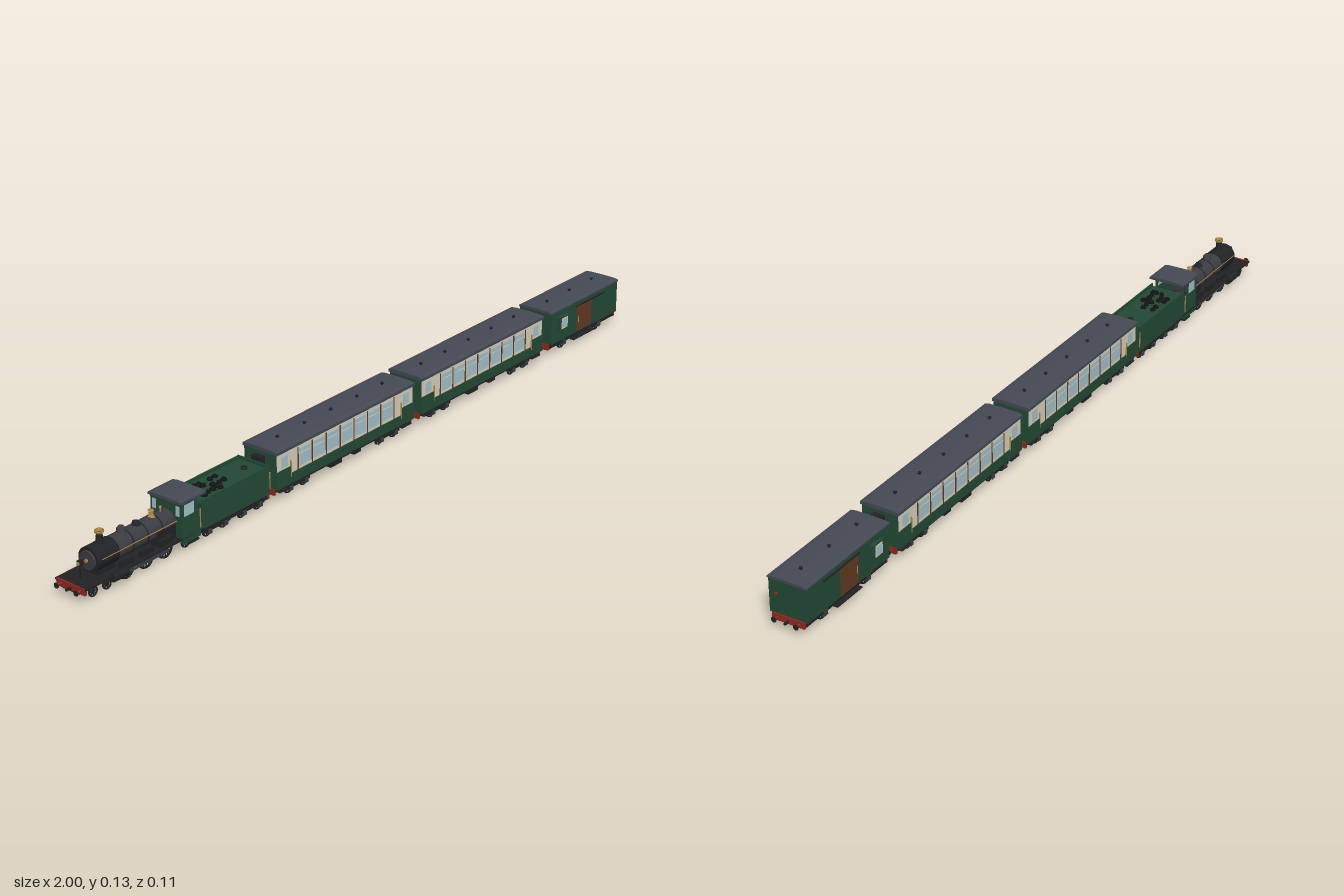
import * as THREE from 'three';

const mat = (c) => new THREE.MeshStandardMaterial({ color: c, side: THREE.DoubleSide });
const M = {
  green: mat(0x234a35), black: mat(0x222326), steel: mat(0x3b3d42), roof: mat(0x454a55),
  red: mat(0x92281f), cream: mat(0xd9d2be), glass: mat(0xa5c3cc), brown: mat(0x633a20),
  gold: mat(0xb08a48), coal: mat(0x141416),
};

function add(g, name, geo, m, x = 0, y = 0, z = 0) {
  const mesh = new THREE.Mesh(geo, m);
  mesh.name = name;
  mesh.position.set(x, y, z);
  g.add(mesh);
  return mesh;
}
// box from its limits
const box = (g, name, m, x0, x1, y0, y1, z0, z1) => add(g, name,
  new THREE.BoxGeometry(x1 - x0, y1 - y0, z1 - z0), m, (x0 + x1) / 2, (y0 + y1) / 2, (z0 + z1) / 2);
// matching boxes on both sides
const sides = (g, name, m, x0, x1, y0, y1, z0, z1) => {
  box(g, name, m, x0, x1, y0, y1, z0, z1);
  box(g, name, m, x0, x1, y0, y1, -z1, -z0);
};
// cylinders along x, y or z
const rodX = (g, name, m, x0, x1, y, z, r, n = 12) => add(g, name,
  new THREE.CylinderGeometry(r, r, x1 - x0, n).rotateZ(Math.PI / 2), m, (x0 + x1) / 2, y, z);
const rodZ = (g, name, m, x, y, w, r, n = 12) => add(g, name,
  new THREE.CylinderGeometry(r, r, w, n).rotateX(Math.PI / 2), m, x, y, 0);
const turned = (g, name, m, x, y, pts) => add(g, name,
  new THREE.LatheGeometry(pts.map((p) => new THREE.Vector2(...p)), 20), m, x, y);

// axle with two flanged, spoked wheels standing on the rails
function wheelset(g, x, r, spokes = 8) {
  const w = new THREE.Group();
  w.name = 'wheelset';
  const rim = new THREE.LatheGeometry([[r * 0.8, -0.002], [r, -0.002], [r, -0.001], [r * 0.95, -0.001],
    [r * 0.95, 0.002], [r * 0.8, 0.002], [r * 0.8, -0.002]].map((p) => new THREE.Vector2(...p)), 24).rotateX(Math.PI / 2);
  rodZ(w, 'axle', M.steel, 0, 0, 0.066, 0.0025, 8);
  for (const s of [-1, 1]) {
    const wheel = new THREE.Group();
    wheel.name = 'wheel';
    add(wheel, 'tyre', rim, M.black);
    rodZ(wheel, 'hub', M.black, 0, 0, 0.005, r * 0.25);
    for (let i = 0; i < spokes / 2; i++) {
      add(wheel, 'spoke', new THREE.BoxGeometry(r * 1.7, 0.0022, 0.002), M.black).rotation.z = (i * Math.PI * 2) / spokes;
    }
    wheel.position.z = s * 0.031;
    if (s < 0) wheel.rotation.y = Math.PI;
    w.add(wheel);
  }
  w.position.set(x, r, 0);
  g.add(w);
}

// red beam, buffers and hook; dir points outward along x
function bufferBeam(g, x, dir, len = 0.014) {
  const span = (a, b) => [Math.min(x + dir * a, x + dir * b), Math.max(x + dir * a, x + dir * b)];
  box(g, 'bufferBeam', M.red, ...span(-0.004, 0.002), 0.018, 0.034, -0.041, 0.041);
  for (const z of [-0.028, 0.028]) {
    rodX(g, 'bufferStem', M.red, ...span(0, len - 0.002), 0.026, z, 0.003);
    rodX(g, 'bufferHead', M.black, ...span(len - 0.002, len), 0.026, z, 0.0065, 16);
  }
  box(g, 'couplingHook', M.black, ...span(0, len), 0.022, 0.027, -0.0025, 0.0025);
}

function bogie(g, x, half = 0.027, r = 0.014) {
  for (const s of [-1, 1]) {
    wheelset(g, x + s * half, r);
    sides(g, 'axleBox', M.steel, x + s * half - 0.005, x + s * half + 0.005, 0.01, 0.02, 0.036, 0.043);
  }
  sides(g, 'bogieFrame', M.black, x - half - 0.014, x + half + 0.014, 0.015, 0.021, 0.035, 0.04);
  box(g, 'bogieBolster', M.black, x - 0.008, x + 0.008, 0.014, 0.03, -0.036, 0.036);
}

// slightly cambered roof slab
function roof(g, x0, x1, y0, y1, half) {
  const s = new THREE.Shape([[-half, y0], [half, y0], [half, y1 - 0.003], [half * 0.75, y1 - 0.0008], [0, y1],
    [-half * 0.75, y1 - 0.0008], [-half, y1 - 0.003]].map((p) => new THREE.Vector2(...p)));
  const geo = new THREE.ExtrudeGeometry(s, { depth: x1 - x0, bevelEnabled: false }).rotateY(Math.PI / 2);
  add(g, 'roof', geo, M.roof, x0);
}

function vents(g, x0, x1, n, y) {
  for (let i = 0; i < n; i++) {
    turned(g, 'roofVent', M.black, x0 + ((x1 - x0) * i) / (n - 1), y - 0.001,
      [[0.002, 0], [0.002, 0.004], [0.0045, 0.004], [0.004, 0.0065], [0, 0.007]]);
  }
}

function locomotive() {
  const g = new THREE.Group();
  g.name = 'locomotive';
  bufferBeam(g, -0.984, -1, 0.016);
  box(g, 'mainFrame', M.black, -0.985, -0.62, 0.016, 0.031, -0.025, 0.025);
  box(g, 'runningBoard', M.black, -0.985, -0.62, 0.03, 0.034, -0.045, 0.045);
  // boiler, smokebox and bands
  rodX(g, 'smokebox', M.black, -0.93, -0.865, 0.067, 0, 0.029, 28);
  rodX(g, 'smokeboxDoor', M.steel, -0.935, -0.93, 0.067, 0, 0.022, 24);
  rodX(g, 'doorHandle', M.gold, -0.939, -0.935, 0.067, 0, 0.004);
  rodX(g, 'boiler', M.steel, -0.865, -0.685, 0.067, 0, 0.027, 28);
  for (const x of [-0.865, -0.82, -0.775, -0.73]) rodX(g, 'boilerBand', M.black, x - 0.0015, x + 0.0015, 0.067, 0, 0.0277, 28);
  box(g, 'smokeboxSaddle', M.black, -0.925, -0.87, 0.03, 0.055, -0.021, 0.021);
  box(g, 'firebox', M.black, -0.75, -0.685, 0.03, 0.066, -0.027, 0.027);
  for (const z of [-0.031, 0.031]) rodX(g, 'handrail', M.gold, -0.92, -0.69, 0.073, z, 0.001, 6);
  // boiler fittings
  turned(g, 'chimney', M.black, -0.895, 0.09, [[0.012, 0], [0.008, 0.006], [0.007, 0.027], [0.006, 0.027], [0.006, 0.01]]);
  turned(g, 'chimneyCap', M.gold, -0.895, 0.115, [[0.007, 0], [0.0105, 0.004], [0.0105, 0.008], [0.007, 0.008], [0.006, 0]]);
  turned(g, 'dome', M.steel, -0.83, 0.09, [[0.014, 0], [0.01, 0.005], [0.01, 0.012], [0.006, 0.017], [0, 0.018]]);
  turned(g, 'sandDome', M.black, -0.785, 0.09, [[0.012, 0], [0.009, 0.005], [0.007, 0.011], [0, 0.013]]);
  turned(g, 'safetyValve', M.gold, -0.737, 0.09, [[0.011, 0], [0.006, 0.006], [0.005, 0.015], [0.007, 0.018], [0, 0.019]]);
  turned(g, 'whistle', M.gold, -0.708, 0.092, [[0.002, 0], [0.002, 0.008], [0.003, 0.009], [0.003, 0.014], [0, 0.015]]);
  // front lamp
  box(g, 'lampPost', M.black, -0.957, -0.954, 0.033, 0.066, -0.0015, 0.0015);
  box(g, 'lamp', M.black, -0.96, -0.95, 0.064, 0.076, -0.005, 0.005);
  rodX(g, 'lampLens', M.gold, -0.962, -0.96, 0.07, 0, 0.004);
  // wheels and motion
  for (const x of [-0.952, -0.91]) wheelset(g, x, 0.013);
  for (const x of [-0.85, -0.79, -0.73]) {
    wheelset(g, x, 0.023, 12);
    sides(g, 'splasher', M.black, x - 0.02, x + 0.02, 0.034, 0.048, 0.028, 0.036);
  }
  wheelset(g, -0.665, 0.014);
  for (const z of [-0.043, 0.043]) {
    rodX(g, 'cylinder', M.black, -0.905, -0.862, 0.028, z, 0.01, 16);
    rodX(g, 'pistonRod', M.steel, -0.865, -0.82, 0.026, z * 0.95, 0.0015, 8);
  }
  sides(g, 'couplingRod', M.steel, -0.855, -0.725, 0.016, 0.02, 0.036, 0.038);
  sides(g, 'connectingRod', M.steel, -0.825, -0.73, 0.023, 0.027, 0.039, 0.041);
  // cab
  sides(g, 'cabSide', M.green, -0.69, -0.63, 0.02, 0.083, 0.042, 0.045);
  sides(g, 'cabWindow', M.glass, -0.682, -0.65, 0.083, 0.112, 0.0425, 0.0445);
  for (const x of [-0.69, -0.65]) sides(g, 'cabPillar', M.green, x, x + 0.008, 0.083, 0.117, 0.042, 0.045);
  sides(g, 'cabTopRail', M.green, -0.69, -0.642, 0.111, 0.117, 0.042, 0.045);
  box(g, 'cabFront', M.green, -0.69, -0.686, 0.03, 0.117, -0.044, 0.044);
  sides(g, 'frontWindow', M.glass, -0.6915, -0.69, 0.085, 0.108, 0.029, 0.039);
  sides(g, 'cabHandrail', M.gold, -0.633, -0.631, 0.04, 0.085, 0.045, 0.047);
  box(g, 'cabStep', M.black, -0.665, -0.635, 0.012, 0.016, -0.044, 0.044);
  roof(g, -0.695, -0.615, 0.116, 0.124, 0.048);
  return g;
}

function tender() {
  const g = new THREE.Group();
  g.name = 'tender';
  box(g, 'tenderTank', M.green, -0.625, -0.4, 0.031, 0.093, -0.045, 0.045);
  sides(g, 'coalRail', M.green, -0.625, -0.4, 0.09, 0.101, 0.043, 0.046);
  box(g, 'rearPlate', M.green, -0.403, -0.4, 0.09, 0.101, -0.045, 0.045);
  box(g, 'underframe', M.black, -0.62, -0.4, 0.018, 0.031, -0.04, 0.04);
  sides(g, 'rearHandrail', M.gold, -0.402, -0.4, 0.045, 0.085, 0.045, 0.047);
  for (let i = 0; i < 16; i++) {
    const r = 0.007 + 0.003 * Math.abs(Math.sin(i * 3.1));
    add(g, 'coal', new THREE.IcosahedronGeometry(r, 0), M.coal,
      -0.592 + (i % 6) * 0.017, 0.094, Math.sin(i * 2.3) * 0.025).rotation.set(i, i * 2, 0);
  }
  turned(g, 'waterFiller', M.black, -0.435, 0.092, [[0.008, 0], [0.008, 0.005], [0, 0.006]]);
  for (const x of [-0.57, -0.455]) bogie(g, x);
  bufferBeam(g, -0.4, 1, 0.011);
  return g;
}

function coach(cx) {
  const g = new THREE.Group();
  g.name = 'passengerCoach';
  const H = 0.25;
  box(g, 'body', M.cream, -H + 0.003, H - 0.003, 0.033, 0.118, -0.047, 0.047);
  sides(g, 'lowerPanel', M.green, -H, H, 0.032, 0.057, 0.045, 0.049);
  roof(g, -H - 0.001, H + 0.001, 0.117, 0.127, 0.05);
  vents(g, -0.19, 0.19, 5, 0.127);
  // saloon windows with slim pillars
  for (let i = -3; i <= 3; i++) {
    sides(g, 'window', M.glass, i * 0.05 - 0.02, i * 0.05 + 0.02, 0.065, 0.107, 0.045, 0.0478);
    sides(g, 'windowBar', M.cream, i * 0.05 - 0.02, i * 0.05 + 0.02, 0.094, 0.096, 0.046, 0.0484);
  }
  for (let i = 0; i < 8; i++) {
    const x = -0.175 + i * 0.05;
    sides(g, 'pillar', M.brown, x - 0.0015, x + 0.0015, 0.057, 0.112, 0.045, 0.0484);
  }
  for (const s of [-1, 1]) {
    const at = (a, b) => [Math.min(s * a, s * b), Math.max(s * a, s * b)];
    // end doors and gangway
    sides(g, 'doorPanel', M.green, ...at(0.202, H), 0.05, 0.075, 0.045, 0.049);
    sides(g, 'doorWindow', M.glass, ...at(0.21, 0.232), 0.08, 0.107, 0.045, 0.0478);
    sides(g, 'doorHandrail', M.gold, ...at(0.2, 0.202), 0.05, 0.09, 0.046, 0.05);
    sides(g, 'doorStep', M.black, ...at(0.205, 0.24), 0.022, 0.025, 0.038, 0.049);
    box(g, 'endWall', M.green, ...at(H - 0.004, H), 0.032, 0.118, -0.046, 0.046);
    box(g, 'gangway', M.black, ...at(H, H + 0.014), 0.036, 0.108, -0.014, 0.014);
    bufferBeam(g, s * H, s, 0.014);
    bogie(g, s * 0.165);
  }
  // underframe equipment
  box(g, 'underframe', M.black, -H + 0.005, H - 0.005, 0.024, 0.034, -0.043, 0.043);
  sides(g, 'batteryBox', M.black, -0.05, -0.01, 0.012, 0.026, 0.026, 0.04);
  sides(g, 'equipmentBox', M.black, 0.035, 0.06, 0.014, 0.026, 0.026, 0.04);
  sides(g, 'trussRod', M.black, -0.11, 0.11, 0.016, 0.018, 0.022, 0.024);
  g.position.x = cx;
  return g;
}

function van() {
  const g = new THREE.Group();
  g.name = 'luggageVan';
  box(g, 'body', M.green, 0.687, 0.984, 0.033, 0.118, -0.048, 0.048);
  roof(g, 0.685, 0.986, 0.116, 0.123, 0.05);
  vents(g, 0.735, 0.935, 3, 0.123);
  // side lookouts
  sides(g, 'lookout', M.green, 0.714, 0.756, 0.06, 0.1, 0.047, 0.056);
  sides(g, 'lookoutFrame', M.cream, 0.722, 0.748, 0.068, 0.096, 0.055, 0.0568);
  sides(g, 'lookoutWindow', M.glass, 0.725, 0.745, 0.071, 0.093, 0.056, 0.0574);
  // sliding doors
  sides(g, 'slidingDoor', M.brown, 0.802, 0.866, 0.035, 0.103, 0.047, 0.0495);
  sides(g, 'doorRail', M.black, 0.795, 0.925, 0.103, 0.106, 0.047, 0.0503);
  sides(g, 'doorHandle', M.gold, 0.806, 0.808, 0.06, 0.078, 0.049, 0.051);
  rodX(g, 'tailLamp', M.red, 0.983, 0.988, 0.083, 0.029, 0.0035);
  box(g, 'underframe', M.black, 0.69, 0.981, 0.02, 0.034, -0.042, 0.042);
  sides(g, 'footboard', M.black, 0.79, 0.88, 0.014, 0.017, 0.038, 0.049);
  for (const x of [0.757, 0.913]) {
    wheelset(g, x, 0.016);
    sides(g, 'axleBox', M.steel, x - 0.007, x + 0.007, 0.012, 0.026, 0.036, 0.043);
  }
  bufferBeam(g, 0.686, -1, 0.015);
  bufferBeam(g, 0.985, 1, 0.015);
  return g;
}

export function createModel() {
  const train = new THREE.Group();
  train.name = 'steamTrain';
  train.add(locomotive(), tender(), coach(-0.13), coach(0.4), van());
  // coupling bars between vehicles
  for (const [a, b] of [[-0.4, -0.38], [0.12, 0.15], [0.65, 0.686]]) rodX(train, 'coupling', M.black, a, b, 0.0245, 0, 0.002, 8);
  return train;
}
